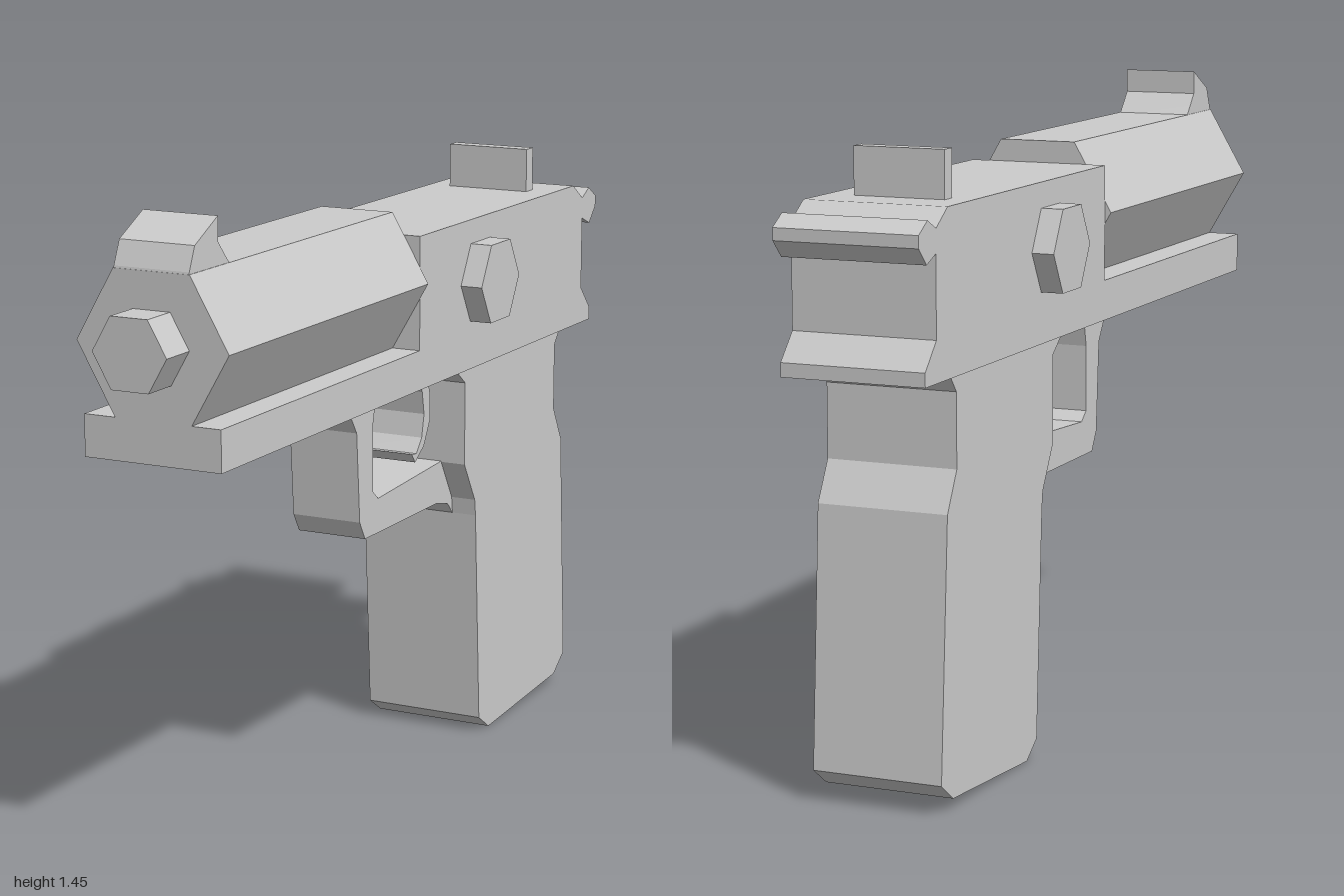
import * as THREE from 'three';

const material = new THREE.MeshStandardMaterial({ color: 0xcccccc, flatShading: true });

export function createModel() {
  const group = new THREE.Group();

  const add = (name, geometry) => {
    const mesh = new THREE.Mesh(geometry, material);
    mesh.name = name;
    group.add(mesh);
  };

  // Side profile given as [z, y] points, extruded across x from x0 to x1
  const addProfile = (name, points, x0, x1) => {
    const shape = new THREE.Shape(points.map(([z, y]) => new THREE.Vector2(z, y)));
    const geometry = new THREE.ExtrudeGeometry(shape, { depth: x1 - x0, bevelEnabled: false });
    add(name, geometry.rotateY(-Math.PI / 2).translate(x1, 0, 0));
  };

  // Hexagonal bar lying along z
  const addHexBar = (name, radius, z0, z1, y) => {
    const geometry = new THREE.CylinderGeometry(radius, radius, z1 - z0, 6);
    geometry.rotateY(Math.PI / 6).rotateX(Math.PI / 2).translate(0, y, (z0 + z1) / 2);
    add(name, geometry);
  };

  // Frame rail, rear body, rear spur and tail in one silhouette
  addProfile('body', [
    [0.91, 0.937], [0.91, 1.03], [0, 1.03], [0, 1.295], [-0.86, 1.295],
    [-0.917, 1.257], [-0.957, 1.278], [-1, 1.252], [-1, 1.225], [-0.963, 1.187],
    [-0.918, 1.205], [-0.918, 1.027], [-0.973, 0.968], [-0.973, 0.937],
  ], -0.168, 0.162);

  // Six-sided barrel and muzzle
  addHexBar('barrel', 0.183, 0, 0.91, 1.187);
  addHexBar('muzzle', 0.089, 0.88, 1, 1.187);

  // Sights
  addProfile('frontSight', [
    [0.91, 1.34], [0.908, 1.35], [0.885, 1.402], [0.79, 1.45],
    [0.79, 1.395], [0.765, 1.367], [0.74, 1.34],
  ], -0.09, 0.09);
  addProfile('rearSight', [
    [-0.718, 1.28], [-0.718, 1.4], [-0.755, 1.4], [-0.755, 1.28],
  ], -0.113, 0.097);

  // Six-sided knobs on both sides, one bar through the body
  const knobs = new THREE.CylinderGeometry(0.104, 0.104, 0.435, 6);
  knobs.rotateZ(Math.PI / 2).scale(1, 1.03, 1).translate(-0.002, 1.145, -0.32);
  add('sideKnobs', knobs);

  // Grip
  addProfile('grip', [
    [-0.225, 0.94], [-0.278, 0.9], [-0.278, 0.7], [-0.337, 0.6], [-0.342, 0.56],
    [-0.372, 0.038], [-0.428, 0], [-0.823, 0.027], [-0.882, 0.07], [-0.845, 0.647],
    [-0.797, 0.735], [-0.797, 0.9], [-0.83, 0.94],
  ], -0.157, 0.145);

  // Trigger guard, its tail running into the grip
  addProfile('triggerGuard', [
    [0.235, 0.94], [0.19, 0.905], [0.16, 0.86], [0.145, 0.647], [0.118, 0.602],
    [-0.257, 0.602], [-0.315, 0.588], [-0.342, 0.56], [-0.4, 0.56], [-0.4, 0.7],
    [-0.278, 0.702], [0.053, 0.684], [0.08, 0.706], [0.08, 0.86], [0.07, 0.905],
    [0.005, 0.94],
  ], -0.09, 0.083);

  // Curved trigger
  addProfile('trigger', [
    [-0.15, 0.94], [-0.18, 0.89], [-0.19, 0.835], [-0.178, 0.78], [-0.15, 0.747],
    [-0.126, 0.75], [-0.144, 0.727], [-0.19, 0.758], [-0.222, 0.815], [-0.222, 0.877],
    [-0.2, 0.94],
  ], -0.085, 0.08);

  return group;
}
